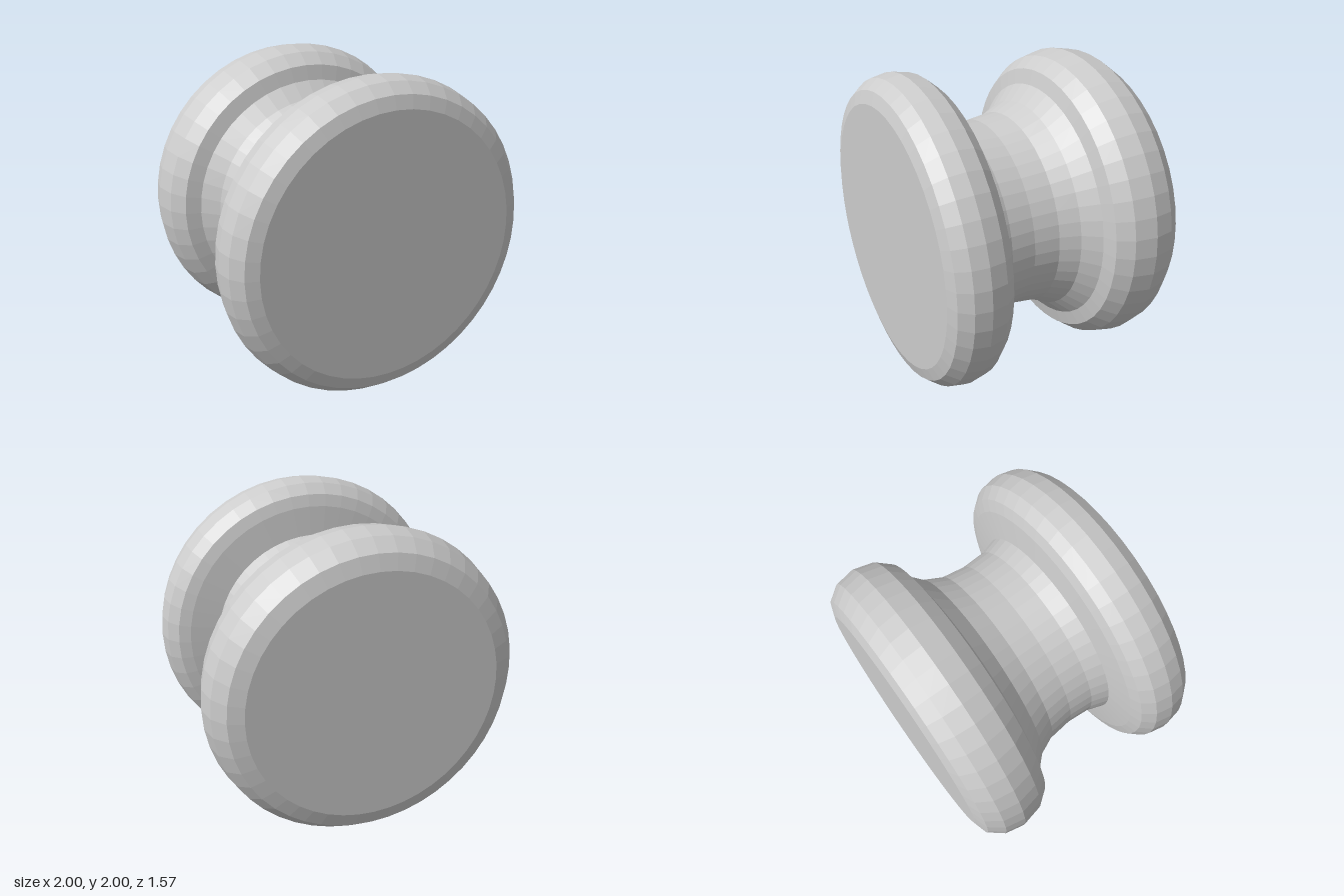
import * as THREE from 'three';

const SIDES = 48;
const material = new THREE.MeshStandardMaterial({ color: 0xcccccc, flatShading: true });

// Turns a [z, radius] profile, listed back to front, around the z axis
function turned(name, profile) {
  const points = profile.map(([z, r]) => new THREE.Vector2(r, z));
  const geometry = new THREE.LatheGeometry(points, SIDES);
  geometry.rotateX(Math.PI / 2);
  const mesh = new THREE.Mesh(geometry, material);
  mesh.name = name;
  return mesh;
}

export function createModel() {
  const knob = new THREE.Group();
  knob.name = 'spool';

  // Wide rounded flange with a flat back face
  const backFlange = turned('backFlange', [
    [-0.78, 0], [-0.78, 0.79], [-0.75, 0.885], [-0.66, 0.955], [-0.535, 0.98],
    [-0.4, 0.95], [-0.31, 0.88], [-0.285, 0.785],
  ]);

  // Flared waist, narrowest towards the front
  const waist = turned('waist', [
    [-0.285, 0.785], [-0.19, 0.69], [-0.07, 0.635], [0.09, 0.615],
    [0.25, 0.625], [0.36, 0.66],
  ]);

  // Thinner rounded flange with a flat front face
  const frontFlange = turned('frontFlange', [
    [0.36, 0.66], [0.385, 0.845], [0.41, 0.92], [0.48, 0.98], [0.585, 1],
    [0.685, 0.98], [0.76, 0.92], [0.785, 0.84], [0.785, 0],
  ]);

  knob.add(backFlange, waist, frontFlange);
  knob.position.y = 1;

  const model = new THREE.Group();
  model.name = 'model';
  model.add(knob);
  return model;
}
